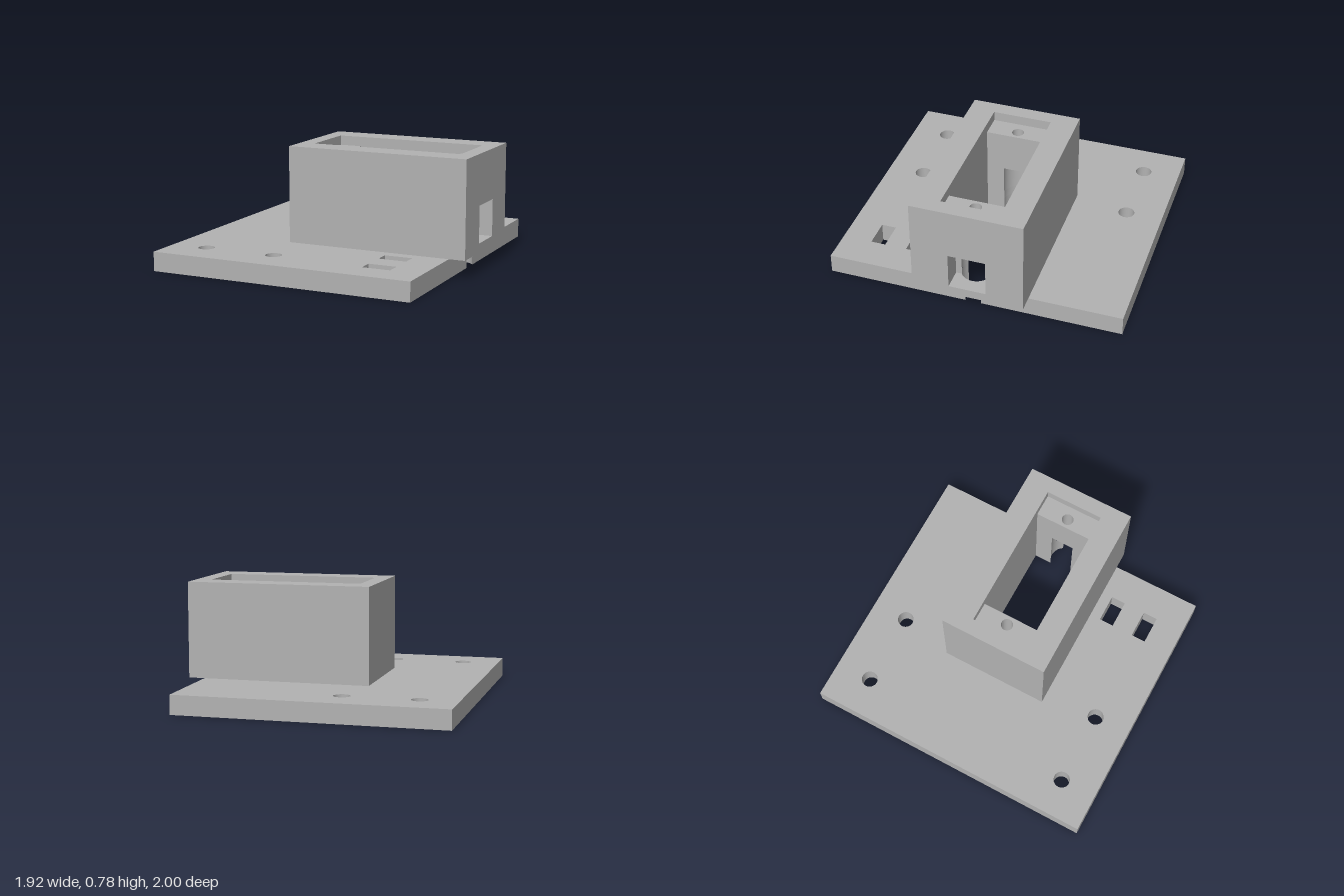
import * as THREE from 'three';
import { mergeGeometries, toCreasedNormals } from 'three/addons/utils/BufferGeometryUtils.js';

// Outlines are lists of [x, z]; counter-clockwise means from +x towards +z.
const rect = (x0, x1, z0, z1) => [[x0, z0], [x1, z0], [x1, z1], [x0, z1]];

function arc(cx, cz, r, a0, a1, n = 24) {
  return Array.from({ length: n + 1 }, (_, i) => {
    const a = a0 + (a1 - a0) * i / n;
    return [cx + r * Math.cos(a), cz + r * Math.sin(a)];
  });
}

const circle = (x, z, r) => arc(x, z, r, 0, Math.PI * 2, 36).slice(0, -1);
const vectors = (pts) => pts.map(([x, y]) => new THREE.Vector2(x, y));

function flat(outline, holes = []) {
  const shape = new THREE.Shape(vectors(outline));
  holes.forEach((h) => shape.holes.push(new THREE.Path(vectors(h))));
  return new THREE.ShapeGeometry(shape);
}

// Horizontal face at height y, facing up or down
function face(y, up, outline, holes) {
  const g = flat(outline, holes).rotateX(Math.PI / 2).translate(0, y, 0);
  if (up) {
    const ix = g.index.array;
    for (let i = 0; i < ix.length; i += 3) [ix[i], ix[i + 1]] = [ix[i + 1], ix[i]];
  }
  return finish(g);
}

function finish(g) {
  const flatG = g.index ? g.toNonIndexed() : g;
  flatG.deleteAttribute('uv');
  flatG.computeVertexNormals();
  return flatG;
}

// Upright walls along a path; they face the left side of the path
function walls(path, y0, y1, closed = true) {
  const pos = [];
  const count = closed ? path.length : path.length - 1;
  for (let i = 0; i < count; i++) {
    const [ax, az] = path[i];
    const [bx, bz] = path[(i + 1) % path.length];
    pos.push(ax, y0, az, bx, y0, bz, bx, y1, bz, ax, y0, az, bx, y1, bz, ax, y1, az);
  }
  const g = new THREE.BufferGeometry();
  g.setAttribute('position', new THREE.Float32BufferAttribute(pos, 3));
  return toCreasedNormals(g, 0.5);
}

const reversed = (pts) => [...pts].reverse();

export function createModel() {
  const group = new THREE.Group();
  const grey = new THREE.MeshStandardMaterial({ color: 0xb2b2b2 });
  grey.name = 'grey plastic';
  const add = (name, parts) => {
    const mesh = new THREE.Mesh(mergeGeometries(parts), grey);
    mesh.name = name;
    group.add(mesh);
  };

  // Heights
  const plateTop = 0.13, sill = 0.19, lintel = 0.44, ledge = 0.715, top = 0.78;
  // Main opening, screw pockets and window
  const x0 = -0.035, x1 = 0.705, w = 0.2;
  const lx = -0.095, rx = 0.765, R = 0.1;
  const plateX = 0.85, boxX0 = -0.29, boxX = 0.96, boxZ = 0.375, winZ = 0.125;
  const neck = Math.acos((x0 - lx) / R);           // where pockets meet the opening
  const edge = Math.acos((plateX - rx) / R);       // where a pocket breaks the plate edge
  const win = Math.asin(0.85);                     // where a pocket meets the window
  const winX = rx + R * Math.cos(win);
  const rightArc = (a0, a1) => arc(rx, 0, R, a0, a1);
  const leftArc = arc(lx, 0, R, neck, Math.PI * 2 - neck);
  const far = Math.PI - neck;

  // Opening without its right pocket, from the right pocket round and back
  const openingRest = [[x1, w], [x0, w], ...leftArc, [x0, -w], [x1, -w]];
  const keyhole = [...openingRest, ...rightArc(-far, far)];

  // Base plate with mounting holes and strap slots
  const plateOutline = [
    [plateX, 1], [-0.96, 1], [-0.96, -1], [plateX, -1],
    ...rightArc(-edge, -far), ...reversed(openingRest), ...rightArc(far, edge),
  ];
  const plateHoles = [];
  for (const x of [-0.71, -0.21]) for (const z of [-0.75, 0.75]) plateHoles.push(circle(x, z, 0.055));
  for (const z of [0.45, 0.7]) plateHoles.push(rect(0.44, 0.63, z, z + 0.1));
  const plateTopOutline = [
    [plateX, boxZ], [plateX, 1], [-0.96, 1], [-0.96, -1],
    [plateX, -1], [plateX, -boxZ], [boxX0, -boxZ], [boxX0, boxZ],
  ];
  add('basePlate', [
    face(0, false, plateOutline, plateHoles),
    face(plateTop, true, plateTopOutline, plateHoles),
    walls(reversed(plateOutline), 0, plateTop),
    ...plateHoles.map((h) => walls(h, 0, plateTop)),
  ]);

  // Outer shell of the housing, with a window in its right end
  const windowWall = flat(rect(-boxZ, boxZ, plateTop, top), [rect(-winZ, winZ, sill, lintel)])
    .rotateY(Math.PI / 2).translate(boxX, 0, 0);
  const recess = rect(-0.188, 0.855, -w, w);
  add('housingShell', [
    walls([[boxX, boxZ], [boxX0, boxZ], [boxX0, -boxZ], [boxX, -boxZ]].reverse(), plateTop, top, false),
    finish(windowWall),
    face(top, true, rect(boxX0, boxX, -boxZ, boxZ), [recess]),
    face(plateTop, false, [
      [plateX, -boxZ], [boxX, -boxZ], [boxX, boxZ], [plateX, boxZ], ...rightArc(edge, -edge),
    ]),
  ]);

  // Recess and screw ledges
  const screwHoles = [circle(lx, 0, 0.04), circle(rx, 0, 0.04)];
  add('screwLedges', [
    walls(recess, ledge, top),
    face(ledge, true, rect(-0.188, x0, -w, w), [screwHoles[0]]),
    face(ledge, true, rect(x1, 0.855, -w, w), [screwHoles[1]]),
    ...screwHoles.map((h) => walls(h, lintel, ledge)),
    walls(rect(x0, x1, -w, w), lintel, ledge),
  ]);

  // Lower opening, round pockets and window reveal
  const upperSide = [[boxX, winZ], [winX, winZ], ...rightArc(win, far)];
  const lowerSide = [...rightArc(-far, -win), [winX, -winZ], [boxX, -winZ]];
  add('openingAndPockets', [
    walls(keyhole, plateTop, sill),
    walls([...upperSide, ...openingRest, ...lowerSide], sill, lintel, false),
    face(sill, true, [
      [boxX, -winZ], [boxX, winZ], [winX, winZ], ...rightArc(win, -win), [winX, -winZ],
    ]),
    face(lintel, false, [...upperSide, ...lowerSide], [screwHoles[1]]),
    face(lintel, false, leftArc, [screwHoles[0]]),
  ]);

  return group;
}
